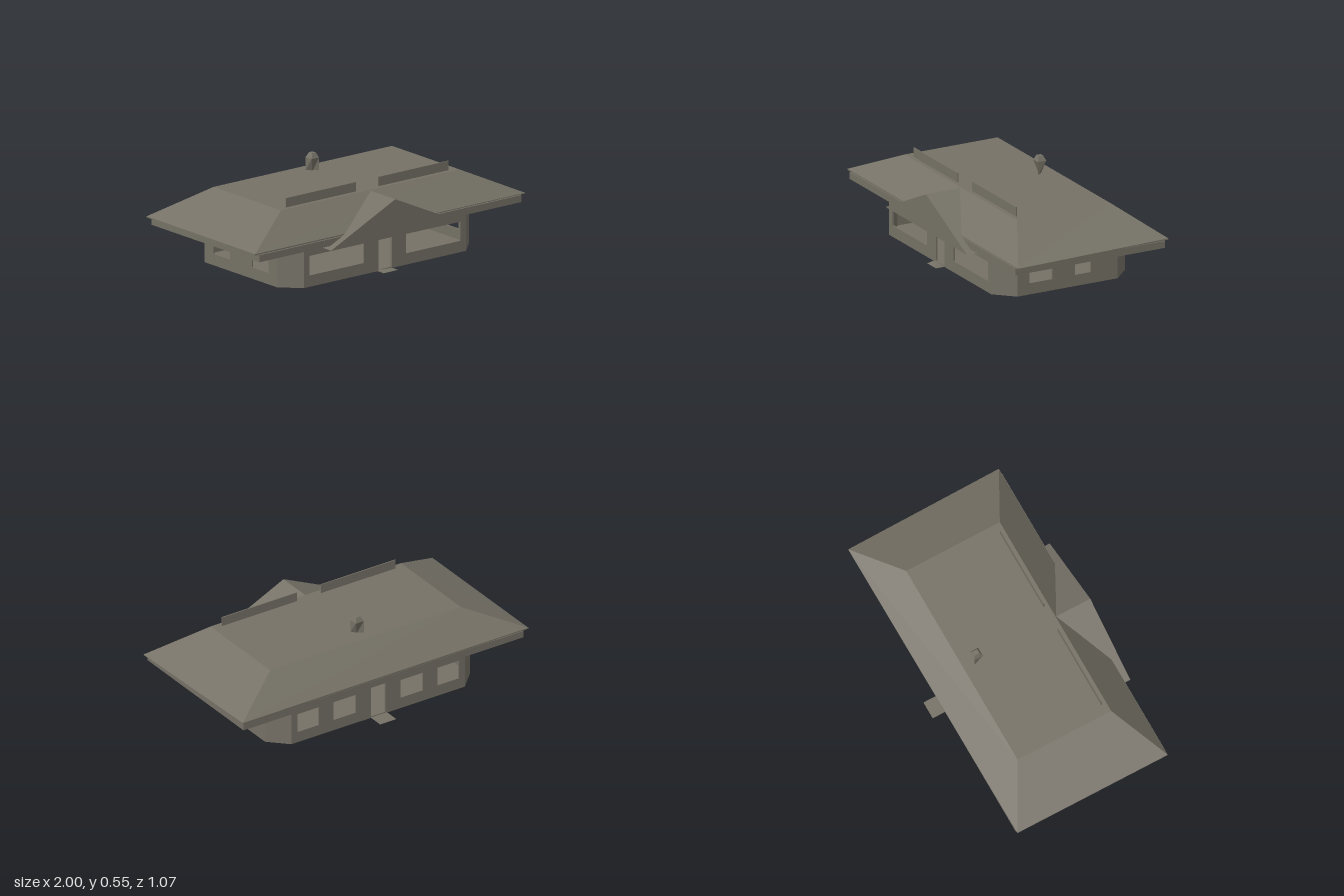
import * as THREE from 'three';

const stone = new THREE.MeshStandardMaterial({ color: 0x757166, side: THREE.DoubleSide });
stone.name = 'weathered grey';

function add(parent, name, geometry) {
  const mesh = new THREE.Mesh(geometry, stone);
  mesh.name = name;
  parent.add(mesh);
  return mesh;
}

// Four corners of a level rectangle, counter-clockwise from above
const rect = (x0, x1, y, zFront, zBack) => [
  [x0, y, zFront], [x1, y, zFront], [x1, y, zBack], [x0, y, zBack],
];

// Flat-sided solid through a stack of four-cornered rings, bottom to top
function loft(rings) {
  const pos = [];
  const quad = (a, b, c, d) => pos.push(...a, ...b, ...c, ...a, ...c, ...d);
  for (let r = 0; r + 1 < rings.length; r++) {
    const lo = rings[r], hi = rings[r + 1];
    for (let i = 0; i < 4; i++) quad(lo[i], lo[(i + 1) % 4], hi[(i + 1) % 4], hi[i]);
  }
  const [a, b, c, d] = rings[0];
  quad(d, c, b, a);
  quad(...rings[rings.length - 1]);
  const g = new THREE.BufferGeometry();
  g.setAttribute('position', new THREE.Float32BufferAttribute(pos, 3));
  g.computeVertexNormals();
  return g;
}

// Wall plate between two floor points, with openings [u0, u1, y0, y1] about its middle
function wallGeometry([x0, z0], [x1, z1], openings) {
  const along = new THREE.Vector3(x1 - x0, 0, z1 - z0);
  const half = along.length() / 2;
  along.normalize();
  const shape = new THREE.Shape();
  shape.moveTo(-half, 0).lineTo(half, 0).lineTo(half, 0.225).lineTo(-half, 0.225).closePath();
  for (const [u0, u1, y0, y1] of openings) {
    const hole = new THREE.Path();
    hole.moveTo(u0, y0).lineTo(u0, y1).lineTo(u1, y1).lineTo(u1, y0).closePath();
    shape.holes.push(hole);
  }
  const g = new THREE.ExtrudeGeometry(shape, { depth: 0.01, bevelEnabled: false });
  g.translate(0, 0, -0.01);
  const up = new THREE.Vector3(0, 1, 0);
  const out = new THREE.Vector3().crossVectors(along, up);
  const m = new THREE.Matrix4().makeBasis(along, up, out);
  m.setPosition((x0 + x1) / 2, 0, (z0 + z1) / 2);
  return g.applyMatrix4(m);
}

export function createModel() {
  const house = new THREE.Group();
  house.name = 'house';

  // Walls around a rectangle with cut corners
  const plan = [
    [-0.6, 0.44], [0.6, 0.44], [0.71, 0.33], [0.71, -0.33],
    [0.6, -0.44], [-0.6, -0.44], [-0.71, -0.33], [-0.71, 0.33],
  ];
  const win = (u0, u1) => [u0, u1, 0.068, 0.185];
  const door = [-0.05, 0.05, 0.008, 0.205];
  const openings = {
    0: [win(-0.56, -0.155), door, win(0.155, 0.56)],
    2: [win(-0.25, -0.1), win(0.05, 0.155)],
    4: [win(-0.56, -0.41), win(-0.31, -0.155), door, win(0.155, 0.31), win(0.41, 0.56)],
    6: [win(-0.25, -0.1), win(0.1, 0.25)],
  };
  const names = ['frontWall', 'leftFrontCorner', 'leftWall', 'leftBackCorner',
    'backWall', 'rightBackCorner', 'rightWall', 'rightFrontCorner'];
  plan.forEach((p, i) => {
    add(house, names[i], wallGeometry(p, plan[(i + 1) % 8], openings[i] || []));
  });

  // Floor slab
  const floorShape = new THREE.Shape(plan.map(([x, z]) => new THREE.Vector2(x, -z)));
  const floor = new THREE.ExtrudeGeometry(floorShape, { depth: 0.006, bevelEnabled: false });
  floor.rotateX(-Math.PI / 2);
  add(house, 'floor', floor);

  // Door steps
  add(house, 'frontStep', loft([
    rect(-0.055, 0.05, 0, 0.495, 0.44),
    [[-0.055, 0.008, 0.455], [0.05, 0.002, 0.495], [0.05, 0.002, 0.44], [-0.055, 0.008, 0.44]],
  ]));
  add(house, 'backStep', loft([
    rect(-0.06, 0.05, 0, -0.44, -0.535), rect(-0.06, 0.05, 0.003, -0.44, -0.535),
  ]));

  // Sloped soffit and the fascia band above it
  add(house, 'eavesBand', loft([
    rect(-0.7, 0.7, 0.22, 0.42, -0.42),
    rect(-0.97, 0.97, 0.235, 0.49, -0.495),
    rect(-0.97, 0.97, 0.277, 0.49, -0.495),
  ]));

  // Hipped roof with a flat top and slightly uneven eaves
  add(house, 'mainRoof', loft([
    [[-1, 0.28, 0.487], [1, 0.28, 0.487], [0.985, 0.287, -0.51], [-1, 0.283, -0.5]],
    [[-1, 0.288, 0.487], [1, 0.284, 0.487], [0.985, 0.295, -0.51], [-1, 0.29, -0.5]],
    rect(-0.66, 0.66, 0.446, 0.305, -0.31),
  ]));

  // Gable over the entrance
  const gable = new THREE.Shape();
  gable.moveTo(-0.475, 0.222).lineTo(0.48, 0.218).lineTo(0, 0.442).closePath();
  const gableGeo = new THREE.ExtrudeGeometry(gable, { depth: 0.23, bevelEnabled: false });
  add(house, 'entranceGable', gableGeo.translate(0, 0, 0.303));

  // Upright boards along the front of the flat top
  for (const s of [-1, 1]) {
    const board = add(house, s < 0 ? 'rightRoofBoard' : 'leftRoofBoard',
      new THREE.BoxGeometry(0.517, 0.06, 0.006));
    board.position.set(s * 0.3425, 0.472, 0.275);
  }

  // Chimney: a diagonal blade at the foot, square above, with a tapered cap
  const cx = -0.003, cz = -0.218, r = 0.028, t = 0.004;
  add(house, 'chimney', loft([
    [[cx - t, 0.44, cz + t], [cx + r, 0.44, cz + r], [cx + t, 0.44, cz - t], [cx - r, 0.44, cz - r]],
    rect(cx - r, cx + r, 0.522, cz + r, cz - r),
    rect(cx - 0.014, cx + 0.014, 0.552, cz + 0.014, cz - 0.014),
  ]));

  return house;
}
